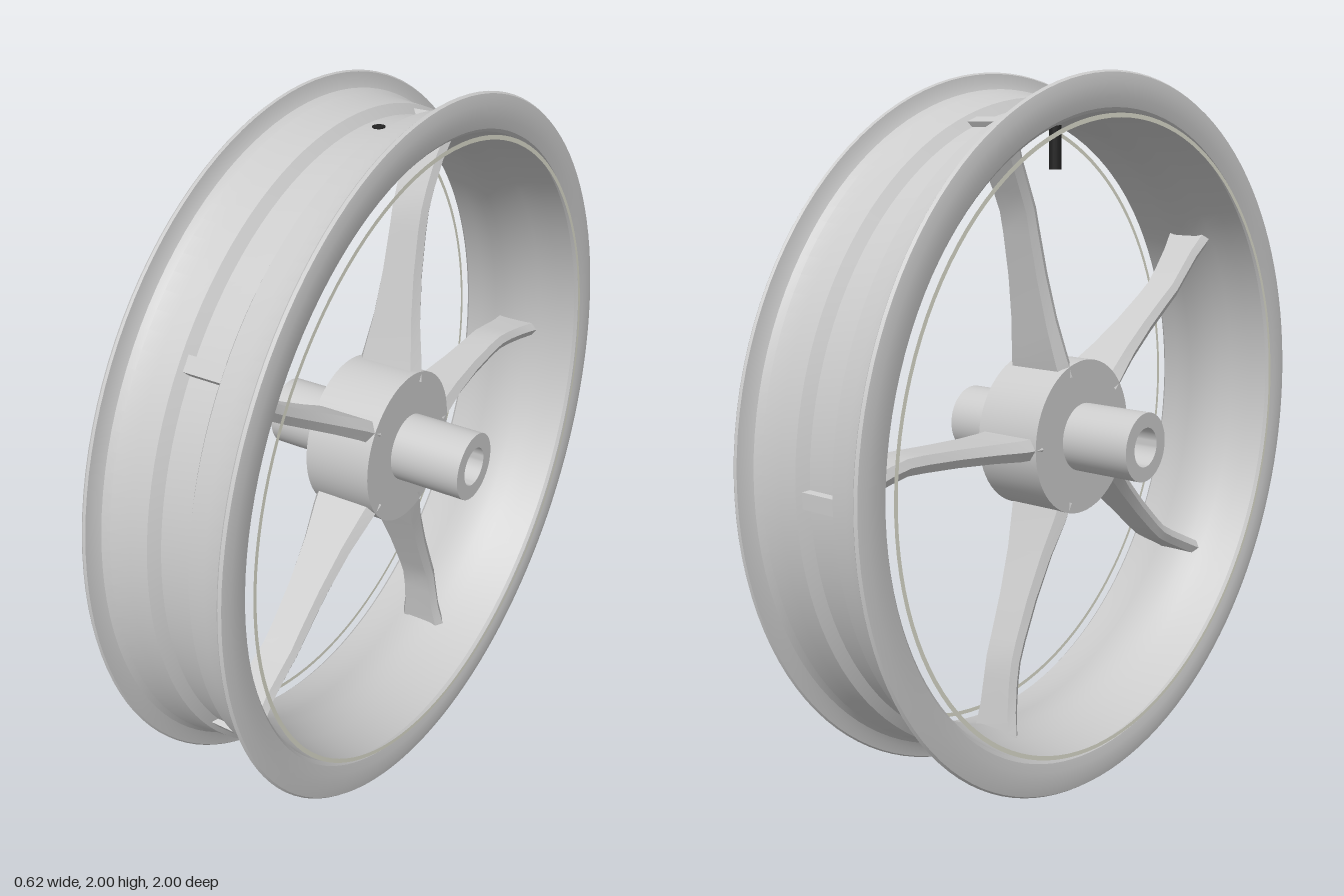
import * as THREE from 'three';
import { toCreasedNormals } from 'three/addons/utils/BufferGeometryUtils.js';

const grey = new THREE.MeshStandardMaterial({ color: 0xcccccc });
const dark = new THREE.MeshStandardMaterial({ color: 0x222222 });
const cream = new THREE.MeshStandardMaterial({ color: 0xe0e0d0, side: THREE.DoubleSide });

function add(parent, name, geometry, material = grey) {
  const mesh = new THREE.Mesh(geometry, material);
  mesh.name = name;
  parent.add(mesh);
  return mesh;
}

// Closed [x, radius] profile turned around the x axis
function turned(profile, segments = 120) {
  const points = [...profile, profile[0]].map(([x, r]) => new THREE.Vector2(r, x));
  const g = new THREE.LatheGeometry(points, segments);
  g.rotateZ(-Math.PI / 2);
  return toCreasedNormals(g, 0.45);
}

// Symmetric profile: outer half and inner half are given from the middle outwards
function mirroredProfile(outer, inner) {
  const flip = (list) => list.filter(([x]) => x > 0).map(([x, r]) => [-x, r]).reverse();
  const rightSide = [...outer, ...[...inner].reverse()];
  return [...flip(outer), ...rightSide, ...flip(inner).reverse()];
}

// Spoke lofted through six-sided sections, reaching out along -z
function spokeGeometry() {
  // radius, sideways offset, half width, half thickness
  const stations = [
    [0.19, 0.0, 0.104, 0.030],
    [0.25, 0.003, 0.094, 0.029],
    [0.35, 0.013, 0.075, 0.026],
    [0.48, 0.026, 0.061, 0.024],
    [0.60, 0.037, 0.056, 0.023],
    [0.66, 0.041, 0.056, 0.022],
    [0.72, 0.034, 0.057, 0.022],
    [0.80, 0.021, 0.062, 0.022],
    [0.86, 0.012, 0.073, 0.022],
    [0.89, 0.006, 0.078, 0.022],
    [0.92, 0.0, 0.066, 0.021],
  ];
  const section = [[1, 0], [0.8, 1], [-0.8, 1], [-1, 0], [-0.8, -1], [0.8, -1]];
  const n = section.length;
  const positions = [];
  const index = [];
  for (const [r, t, w, h] of stations)
    for (const [sx, sy] of section) positions.push(sx * w, t + sy * h, -r);
  for (let i = 0; i < stations.length - 1; i++)
    for (let j = 0; j < n; j++) {
      const a = i * n + j, b = i * n + (j + 1) % n;
      index.push(a, a + n, b, b, a + n, b + n);
    }
  const end = (stations.length - 1) * n;
  for (let j = 1; j < n - 1; j++) index.push(end, end + j + 1, end + j);
  const g = new THREE.BufferGeometry();
  g.setAttribute('position', new THREE.Float32BufferAttribute(positions, 3));
  g.setIndex(index);
  return toCreasedNormals(g, 0.5);
}

export function createModel() {
  const model = new THREE.Group();
  const wheel = new THREE.Group();
  wheel.name = 'wheel';
  wheel.position.y = 1;
  model.add(wheel);

  // Rim with a sunken centre channel and flared flanges
  const rimOuter = [[0, 0.905], [0.042, 0.905], [0.062, 0.932], [0.11, 0.937], [0.165, 0.944],
    [0.182, 0.955], [0.190, 0.972], [0.194, 0.996], [0.199, 1.0]];
  const rimInner = [[0, 0.858], [0.04, 0.859], [0.08, 0.872], [0.14, 0.886], [0.195, 0.896],
    [0.204, 0.905], [0.209, 0.93], [0.211, 0.968], [0.206, 0.995]];
  add(wheel, 'rim', turned(mirroredProfile(rimOuter, rimInner)));

  // Thin trim ring on each side
  for (const side of [-1, 1]) {
    const ring = add(wheel, 'trimRing', new THREE.RingGeometry(0.879, 0.891, 120), cream);
    ring.rotation.y = side * Math.PI / 2;
    ring.position.x = side * 0.217;
  }

  // Hub drum and bored axle sleeve
  add(wheel, 'hub', turned([[-0.1, 0.056], [-0.1, 0.22], [0.1, 0.22], [0.1, 0.056]], 64));
  add(wheel, 'axleSleeve', turned([[-0.31, 0.055], [-0.31, 0.097], [0.31, 0.097], [0.31, 0.055]], 48));

  // Five spokes
  const spoke = spokeGeometry();
  for (let i = 0; i < 5; i++) {
    add(wheel, 'spoke', spoke).rotation.x = (i * Math.PI * 2) / 5;
  }

  // Valve stem through the top of the rim
  const valve = add(wheel, 'valveStem', new THREE.CylinderGeometry(0.017, 0.017, 0.168, 16), dark);
  valve.position.y = 0.824;

  return model;
}
